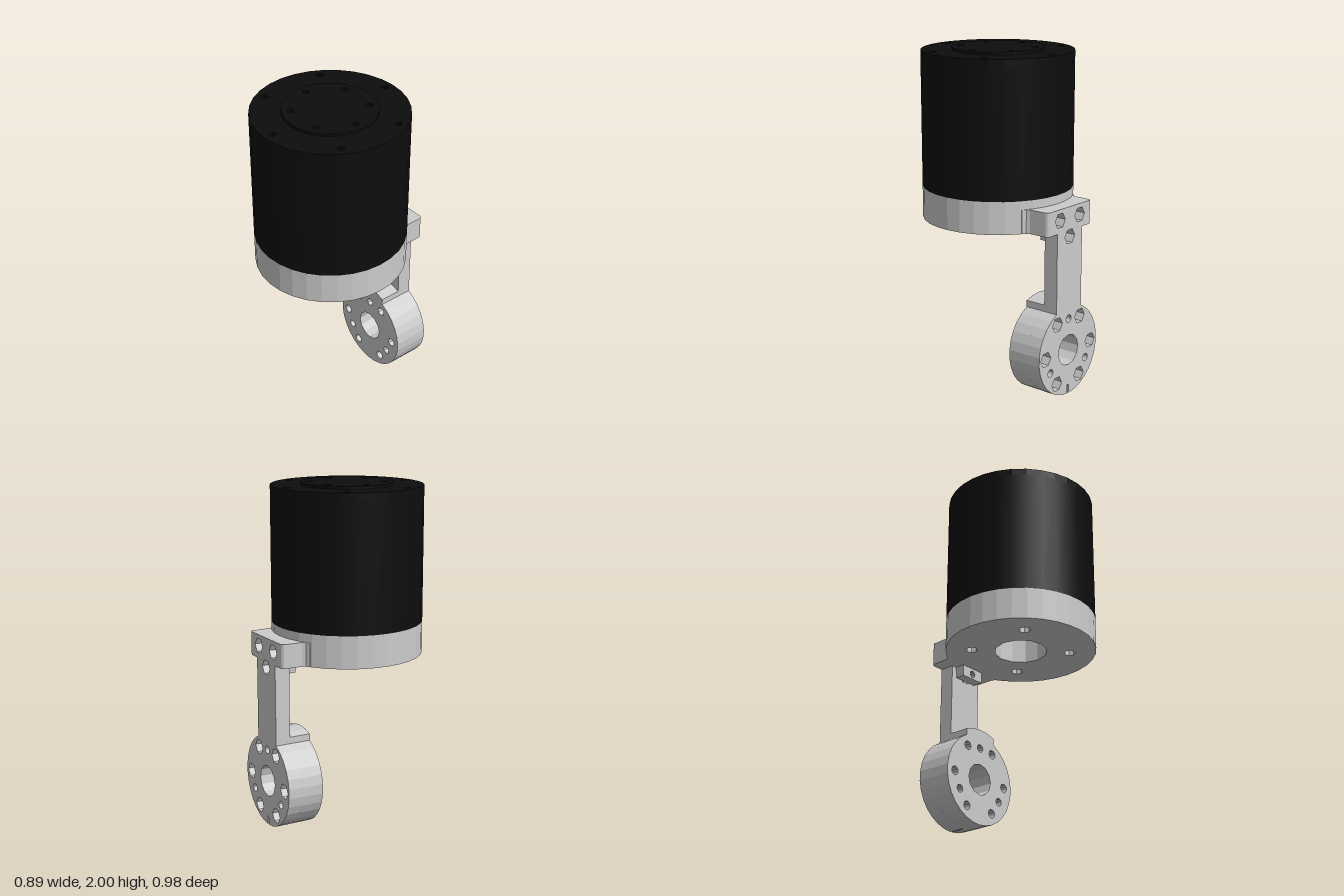
import * as THREE from 'three';

const grey = new THREE.MeshStandardMaterial({ color: 0xcccccc, flatShading: true });
const black = new THREE.MeshStandardMaterial({ color: 0x0d0d0d });

const AXIS_Z = 0.045; // motor axis
const RING_Y = 0.277; // clamp ring centre
const TAU = Math.PI * 2;

// points along an arc
function arc(cx, cy, r, a0, a1, n) {
  return Array.from({ length: n + 1 }, (_, i) => {
    const a = a0 + ((a1 - a0) * i) / n;
    return new THREE.Vector2(cx + r * Math.cos(a), cy + r * Math.sin(a));
  });
}
const circle = (cx, cy, r, n) => arc(cx, cy, r, 0, TAU * (1 - 1 / n), n - 1);

// hole centres evenly spaced on a bolt circle
function boltCircle(cx, cy, r, count, start) {
  return Array.from({ length: count }, (_, i) => {
    const a = start + (TAU * i) / count;
    return [cx + r * Math.cos(a), cy + r * Math.sin(a)];
  });
}

function plate(outline, holes, depth) {
  const shape = new THREE.Shape(outline);
  for (const h of holes) shape.holes.push(new THREE.Path(h));
  return new THREE.ExtrudeGeometry(shape, { depth, bevelEnabled: false });
}

export function createModel() {
  const model = new THREE.Group();

  function add(name, geometry, material = grey) {
    const mesh = new THREE.Mesh(geometry, material);
    mesh.name = name;
    model.add(mesh);
    return mesh;
  }
  // plate lying in plan, from y0 to y1 (shape y is -z)
  const flat = (name, outline, holes, y0, y1, mat) =>
    add(name, plate(outline, holes, y1 - y0).rotateX(-Math.PI / 2).translate(0, y0, 0), mat);
  // upright plate, from z0 (back) to z1 (front)
  const upright = (name, outline, holes, z0, z1) =>
    add(name, plate(outline, holes, z1 - z0).translate(0, 0, z0));

  // motor body and its drilled end cap
  const outer = circle(0, -AXIS_Z, 0.444, 32);
  const drill = (centres, r, n = 10) => centres.map(([x, y]) => circle(x, y, r, n));
  const outerBolts = drill(boltCircle(0, -AXIS_Z, 0.39, 6, Math.PI / 6), 0.02);
  const innerBolts = drill(boltCircle(0, -AXIS_Z, 0.215, 6, 0), 0.02);
  const body = new THREE.CylinderGeometry(0.444, 0.444, 0.755, 32);
  body.rotateY(Math.PI / 2).translate(0, 1.19 + 0.3775, AXIS_Z);
  add('motorBody', body, black);
  flat('motorEndCap', outer, [...outerBolts, ...innerBolts], 1.945, 1.985, black);
  flat('motorTopDisc', circle(0, -AXIS_Z, 0.27, 28), innerBolts, 1.985, 2.0, black);

  // mounting base with bore and four diagonal screw holes
  flat('motorMount', outer, [
    circle(0, -AXIS_Z, 0.155, 12),
    ...drill(boltCircle(0, -AXIS_Z, 0.29, 4, Math.PI / 4), 0.036, 8),
  ], 1.0, 1.19);

  // holes shared by both layers of the clamp ring
  const bore = circle(0, RING_Y, 0.093, 12);
  const pins = drill(boltCircle(0, RING_Y, 0.192, 3, Math.PI / 2), 0.024);
  const bolts = boltCircle(0, RING_Y, 0.21, 6, 0);
  const R = 0.272, W = 0.115;
  const join = Math.acos(W / R); // angle where the ring meets the arm

  // ring front, with the raised lug on top
  const lug = Math.acos(W / 0.308);
  upright('clampRingFront', [
    ...arc(0, RING_Y, R, Math.PI - join, TAU + join, 26),
    ...arc(0, RING_Y, 0.308, lug, Math.PI - lug, 4),
  ], [bore, ...pins, ...drill(bolts, 0.027)], -0.40, -0.27);

  // ring back, arm and head in one piece, with hex nut pockets and a bottom slit
  const slit = Math.asin(0.006 / R), down = Math.PI * 1.5;
  const V = (x, y) => new THREE.Vector2(x, y);
  const headHoles = [[-0.09, 1.075], [0.09, 1.075]];
  const hex = (c) => drill(c, 0.046, 6);
  upright('armAndRingBack', [
    ...arc(0, RING_Y, R, Math.PI - join, down - slit, 13),
    V(-0.006, 0.06), V(0.006, 0.06),
    ...arc(0, RING_Y, R, down + slit, TAU + join, 13),
    V(W, 1.0), V(0.18, 1.0), V(0.18, 1.14), V(-0.18, 1.14), V(-0.18, 1.0), V(-W, 1.0),
  ], [bore, ...pins, ...hex(bolts), ...hex([...headHoles, [0, 0.965]])], -0.49, -0.40);

  // head front part, bolted to the mount
  upright('headBlock', [V(-0.18, 1.0), V(0.18, 1.0), V(0.18, 1.14), V(-0.18, 1.14)],
    drill(headHoles, 0.024), -0.40, -0.34);

  // rounded head sides, flaring into the mount
  for (const s of [1, -1]) {
    const side = [
      V(0.18, 0.33), V(0.238, 0.325), V(0.238, 0.332), V(0.215, 0.345), V(0.205, 0.365),
      ...arc(0.18, 0.468, 0.022, 0, Math.PI / 2, 4),
    ].map((p) => V(s * p.x, p.y));
    flat(s > 0 ? 'headSideLeft' : 'headSideRight', side, [], 1.0, 1.14);
  }

  // small boss under the mount
  upright('armBoss', [V(-0.078, 0.933), V(0.078, 0.933), V(0.083, 1.0), V(-0.083, 1.0)],
    drill([[0, 0.965]], 0.021), -0.40, -0.34);

  return model;
}
